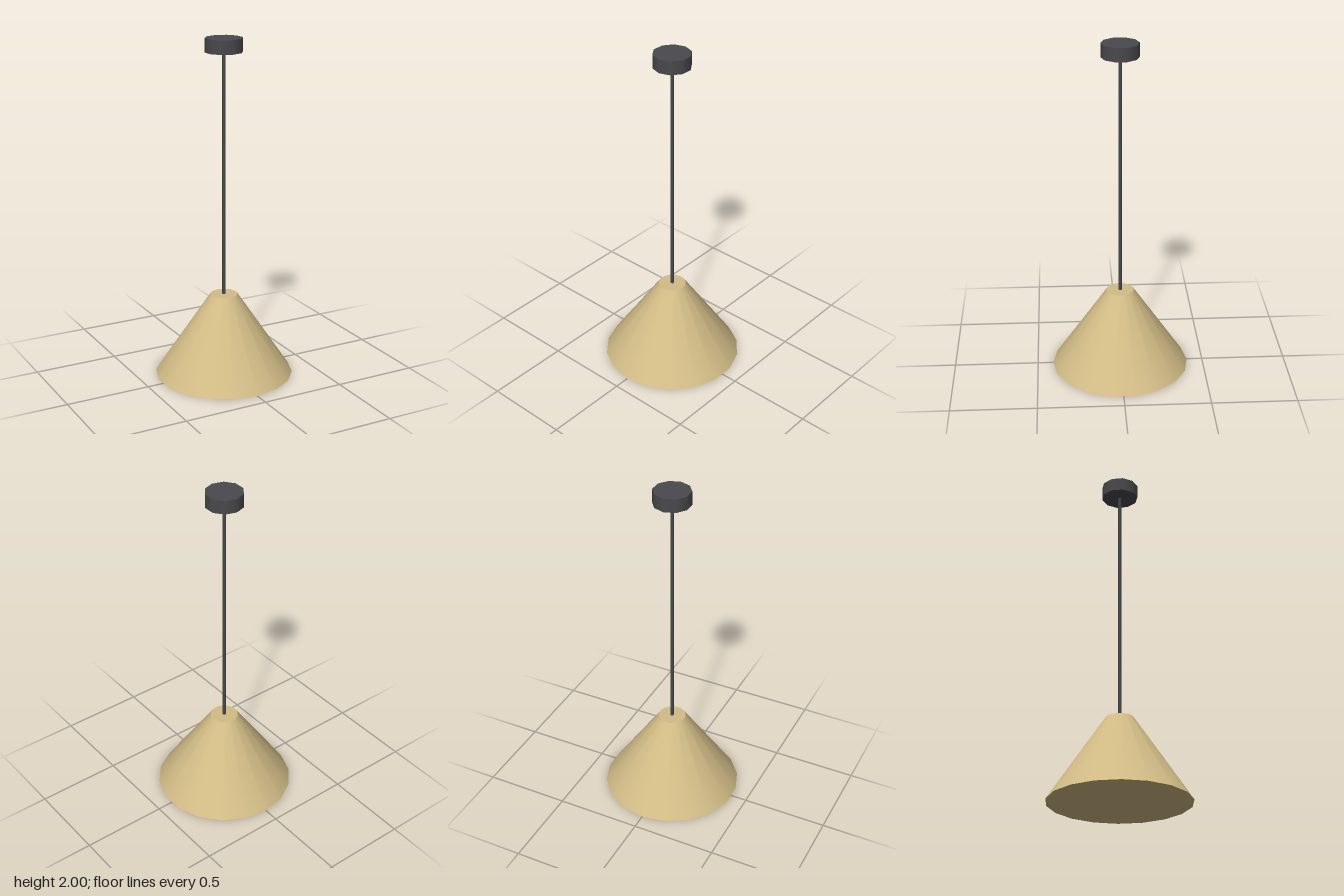
import * as THREE from 'three';

// Upright capped cylinder spanning y0..y1
function addTurned(group, name, color, rTop, rBottom, y0, y1, sides) {
  const mesh = new THREE.Mesh(
    new THREE.CylinderGeometry(rTop, rBottom, y1 - y0, sides),
    new THREE.MeshStandardMaterial({ color })
  );
  mesh.name = name;
  mesh.position.y = (y0 + y1) / 2;
  group.add(mesh);
}

export function createModel() {
  const group = new THREE.Group();
  group.name = 'pendantLamp';
  const dark = 0x4a4a4e, tan = 0xd2bc86;

  // Conical shade, closed underneath
  addTurned(group, 'shade', tan, 0.081, 0.407, 0, 0.49, 18);
  // Thin hanging cord
  addTurned(group, 'cord', dark, 0.01, 0.01, 0.49, 1.92, 6);
  // Ceiling mount
  addTurned(group, 'ceilingMount', dark, 0.108, 0.108, 1.92, 2, 10);

  return group;
}
